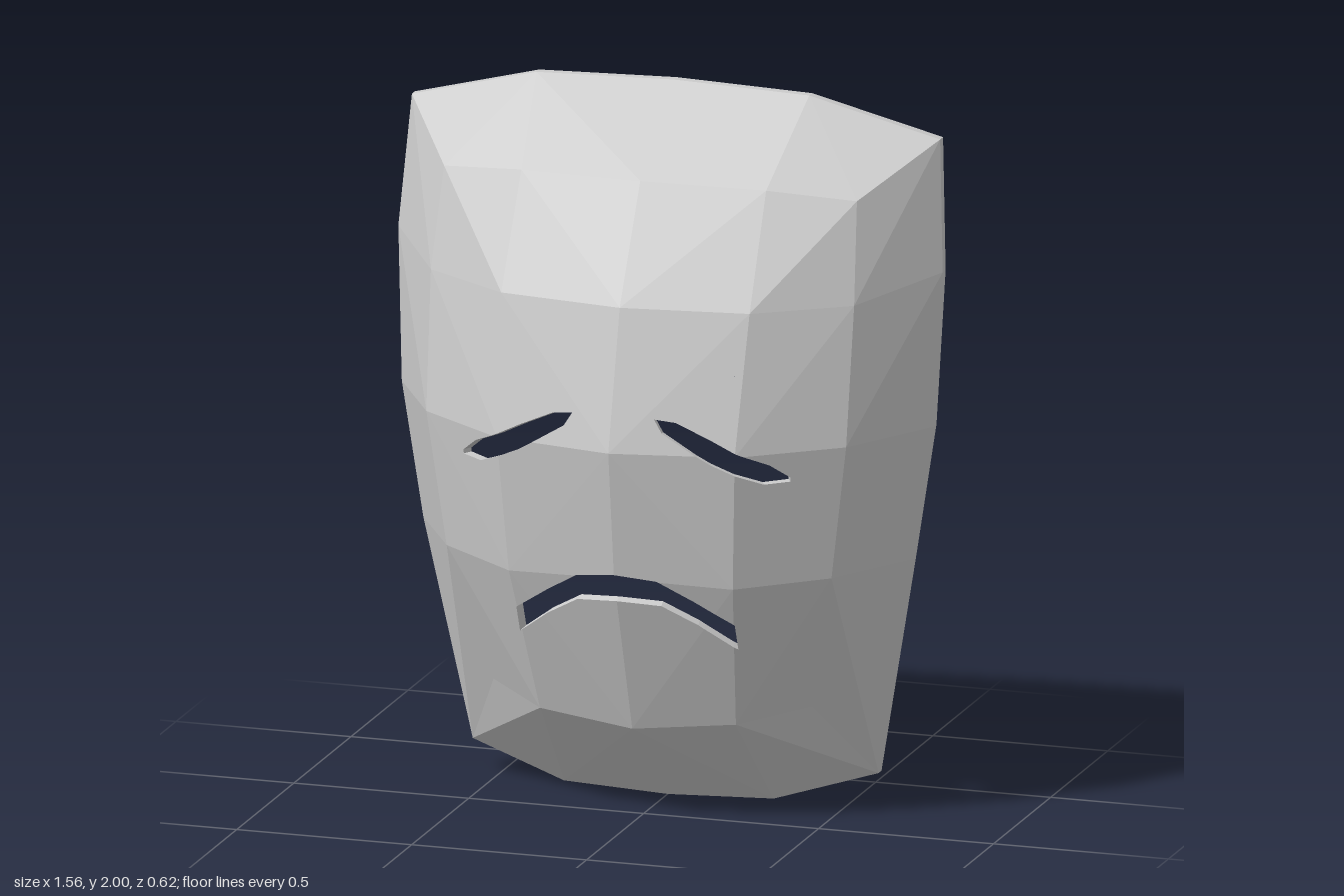
import * as THREE from 'three';

// Right half of the mask's facets, rows from chin to brow: [x, y, z] at centre, cheek, temple, rim
const chin = [0.58, 0.09, -0.28], crown = [0.755, 1.89, -0.283];
const HALF = [
  [[0, 0, -0.21], [0.3, 0.01, -0.22], chin, chin],
  [[0, 0.265, 0.1], [0.28, 0.287, 0.05], [0.455, 0.32, -0.08], chin],
  [[0, 0.73, 0.26], [0.32, 0.71, 0.2], [0.55, 0.72, 0.04], [0.7, 0.72, -0.215]],
  [[0, 1.095, 0.31], [0.34, 1.095, 0.245], [0.6, 1.1, 0.065], [0.76, 1.1, -0.21]],
  [[0, 1.48, 0.21], [0.355, 1.48, 0.16], [0.605, 1.485, 0.01], [0.778, 1.53, -0.235]],
  [[0, 1.79, 0.03], [0.35, 1.785, 0], [0.59, 1.76, -0.06], crown],
  [[0, 2, -0.262], [0.39, 1.99, -0.255], crown, crown],
];

// Every vertex holds an outer point followed by its matching inner point
function withInner([x, y, z], onRim) {
  const s = onRim ? 0 : 1;
  return [x, y, z, x - 0.03 * x * s, y - 0.02 * (y - 1) * s, z - 0.026];
}
const GRID = HALF.map((row, r) => {
  const side = row.map((p, c) => withInner(p, c === 3 || r === 0 || r === 6 || p === chin || p === crown));
  const mirrored = side.slice(1).reverse().map(([x, y, z, u, v, w]) => [-x, y, z, -u, v, w]);
  return [...mirrored, ...side];
});

// Openings: upper and lower edges, left to right
const MOUTH = {
  up: [[-0.312, 0.598], [-0.21, 0.667], [-0.115, 0.725], [0, 0.74], [0.115, 0.725], [0.21, 0.667], [0.312, 0.598]],
  lo: [[-0.312, 0.522], [-0.215, 0.595], [-0.12, 0.65], [0, 0.66], [0.12, 0.65], [0.215, 0.595], [0.312, 0.522]],
};
const EYE = {
  up: [[-0.467, 1.025], [-0.42, 1.065], [-0.27, 1.14], [-0.175, 1.183], [-0.117, 1.19]],
  lo: [[-0.467, 1.013], [-0.405, 1.01], [-0.275, 1.07], [-0.14, 1.153], [-0.117, 1.19]],
};
const flip = (line) => line.map(([x, y]) => [-x, y]).reverse();
const OPENINGS = [MOUTH, EYE, { up: flip(EYE.up), lo: flip(EYE.lo) }];

// Split an opening into convex counter-clockwise pieces; wall marks edges on its outline
function convexPieces({ up, lo }) {
  const pieces = [];
  for (let i = 0; i < up.length - 1; i++) {
    const q = [lo[i], lo[i + 1], up[i + 1], up[i]];
    const wall = [true, i === up.length - 2, true, i === 0];
    pieces.push(q.map((a, k) => ({ a, b: q[(k + 1) % 4], wall: wall[k] }))
      .filter(({ a, b }) => Math.hypot(a[0] - b[0], a[1] - b[1]) > 1e-6));
  }
  return pieces;
}

// Signed distance of a vertex from an edge, seen from the front; positive is inside
function distance({ a, b }, p) {
  const dx = b[0] - a[0], dy = b[1] - a[1];
  return (dx * (p[1] - a[1]) - dy * (p[0] - a[0])) / Math.hypot(dx, dy);
}

function clip(poly, edge, sign) {
  const out = [];
  poly.forEach((p, i) => {
    const q = poly[(i + 1) % poly.length];
    const dp = sign * distance(edge, p), dq = sign * distance(edge, q);
    if (dp >= 0) out.push(p);
    if ((dp > 0 && dq < 0) || (dp < 0 && dq > 0)) {
      const t = dp / (dp - dq);
      out.push(p.map((v, k) => v + (q[k] - v) * t));
    }
  });
  return out;
}

function area(poly) {
  let sum = 0;
  poly.forEach((p, i) => {
    const q = poly[(i + 1) % poly.length];
    sum += p[0] * q[1] - q[0] * p[1];
  });
  return Math.abs(sum / 2);
}

// Two triangles per cell, folded along the diagonal that bulges outward
function splitCell(a, b, c, d) {
  const v = (p) => new THREE.Vector3(p[0], p[1], p[2]).sub(new THREE.Vector3(a[0], a[1], a[2]));
  const bulges = v(b).cross(v(c)).dot(v(d)) <= 0;
  return (bulges ? [[a, b, c], [a, c, d]] : [[a, b, d], [b, c, d]]).filter((t) => area(t) > 1e-6);
}

function buildShell() {
  const positions = [];
  const outer = (p) => p.slice(0, 3), inner = (p) => p.slice(3);
  const face = (pts) => {
    for (let i = 1; i < pts.length - 1; i++) positions.push(...pts[0], ...pts[i], ...pts[i + 1]);
  };
  const wall = (a, b) => face([outer(a), outer(b), inner(b), inner(a)]);

  let polys = [];
  for (let r = 0; r < 6; r++) {
    for (let c = 0; c < 6; c++) {
      polys.push(...splitCell(GRID[r][c], GRID[r][c + 1], GRID[r + 1][c + 1], GRID[r + 1][c]));
    }
  }

  // Cut the openings and line them with walls
  for (const piece of OPENINGS.flatMap(convexPieces)) {
    polys = polys.flatMap((poly) => {
      let rest = poly;
      const kept = [];
      for (const edge of piece) {
        const outside = clip(rest, edge, -1);
        if (area(outside) > 1e-9) kept.push(outside);
        rest = clip(rest, edge, 1);
        if (area(rest) < 1e-9) return [poly];
      }
      rest.forEach((p, i) => {
        const q = rest[(i + 1) % rest.length];
        const onEdge = (e) => e.wall && Math.abs(distance(e, p)) < 1e-7 && Math.abs(distance(e, q)) < 1e-7;
        if (piece.some(onEdge)) wall(p, q);
      });
      return kept;
    });
  }

  // Outer and inner skins
  for (const poly of polys) {
    face(poly.map(outer));
    face(poly.map(inner).reverse());
  }

  // Rim joining the two skins
  for (let i = 0; i < 6; i++) {
    wall(GRID[0][i + 1], GRID[0][i]);
    wall(GRID[6][i], GRID[6][i + 1]);
    wall(GRID[i][0], GRID[i + 1][0]);
    wall(GRID[i + 1][6], GRID[i][6]);
  }

  const geometry = new THREE.BufferGeometry();
  geometry.setAttribute('position', new THREE.Float32BufferAttribute(positions, 3));
  geometry.computeVertexNormals();
  return geometry;
}

export function createModel() {
  const group = new THREE.Group();
  group.name = 'mask';
  const material = new THREE.MeshStandardMaterial({ color: 0xcccccc, flatShading: true });
  const shell = new THREE.Mesh(buildShell(), material);
  shell.name = 'maskShell';
  group.add(shell);
  return group;
}
